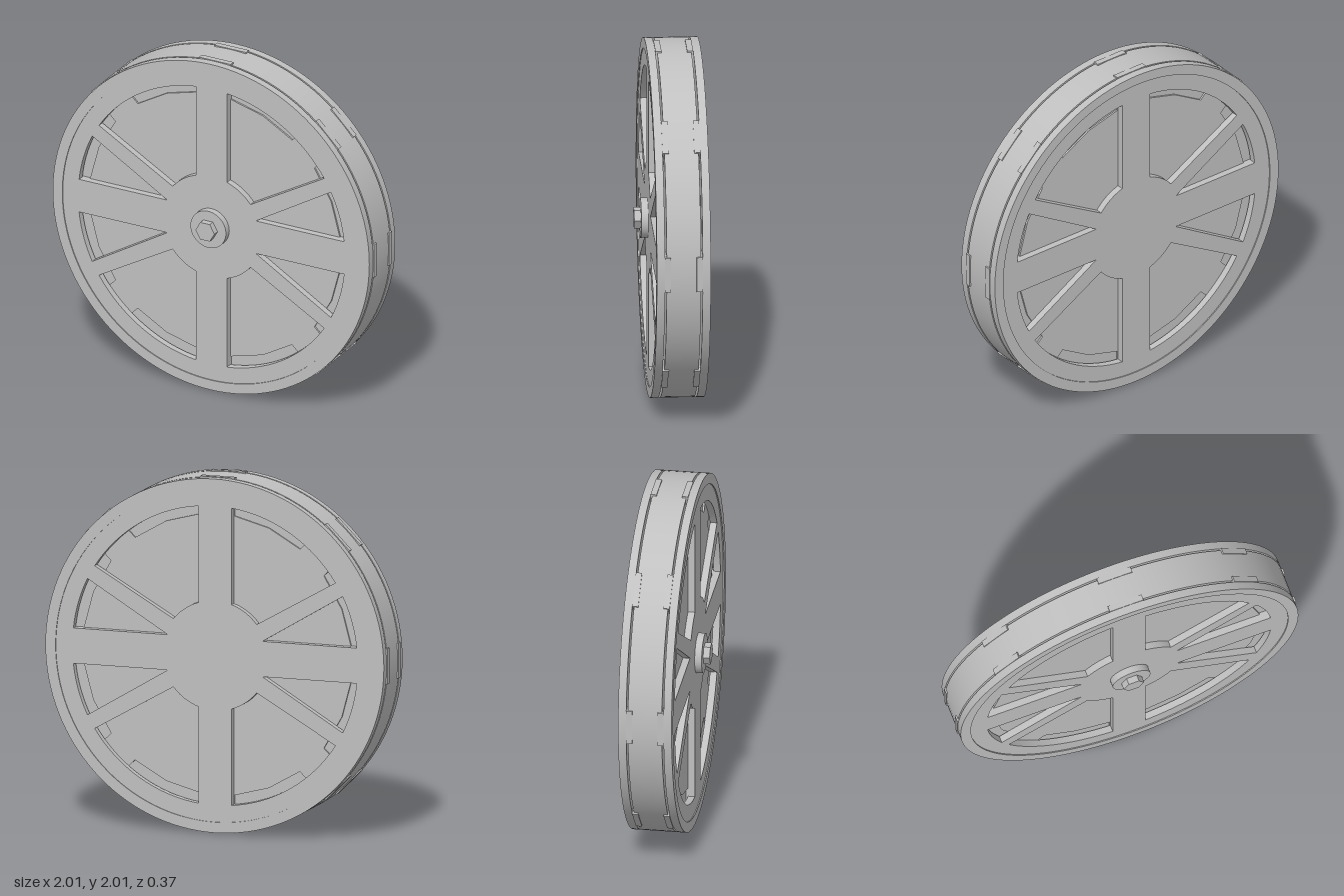
import * as THREE from 'three';
import { toCreasedNormals } from 'three/addons/utils/BufferGeometryUtils.js';

export function createModel() {
  const wheel = new THREE.Group();
  wheel.name = 'wheel';
  const grey = new THREE.MeshStandardMaterial({ color: 0xc0c0c0 });
  grey.name = 'light grey';

  function add(parent, geometry, name) {
    const mesh = new THREE.Mesh(geometry, grey);
    mesh.name = name;
    parent.add(mesh);
    return mesh;
  }

  // Cylinder lying along z, between two depths
  function disc(radius, z0, z1, sides, turn = 0) {
    const g = new THREE.CylinderGeometry(radius, radius, z1 - z0, sides, 1, false, turn);
    return g.rotateX(Math.PI / 2).translate(0, 0, (z0 + z1) / 2);
  }

  function extrude(shape, z0, z1) {
    const g = new THREE.ExtrudeGeometry(shape, { depth: z1 - z0, bevelEnabled: false, curveSegments: 64 });
    return toCreasedNormals(g.translate(0, 0, z0), 0.5);
  }

  function circle(radius) {
    return new THREE.Shape().absarc(0, 0, radius, 0, Math.PI * 2, false);
  }

  // Opening between two spokes; mirrored into each quarter by sx, sy
  function opening(inner0, outer0, outer1, inner1, sx, sy) {
    const points = [];
    const arc = (from, to, steps) => {
      const a0 = Math.atan2(from[1], from[0]), a1 = Math.atan2(to[1], to[0]);
      const r0 = Math.hypot(...from), r1 = Math.hypot(...to);
      for (let i = 0; i <= steps; i++) {
        const t = i / steps, a = a0 + (a1 - a0) * t, r = r0 + (r1 - r0) * t;
        points.push(new THREE.Vector2(sx * r * Math.cos(a), sy * r * Math.sin(a)));
      }
    };
    arc(outer0, outer1, 16);
    arc(inner1, inner0, 10);
    return new THREE.Path(points);
  }

  // Flat outer ring and the slightly sunk spoke plate for one side
  function sidePlate(name) {
    const side = new THREE.Group();
    side.name = name;
    const ring = circle(1);
    ring.holes.push(new THREE.Path().absarc(0, 0, 0.94, 0, Math.PI * 2, true));
    add(side, extrude(ring, 0.105, 0.15), 'outerRing');

    const spokes = circle(0.94);
    for (const sx of [-1, 1]) for (const sy of [-1, 1]) {
      spokes.holes.push(opening([0.285, 0.1], [0.837, 0.1], [0.754, 0.385], [0.283, 0.102], sx, sy));
      spokes.holes.push(opening([0.246, 0.193], [0.711, 0.46], [0.097, 0.84], [0.097, 0.295], sx, sy));
    }
    add(side, extrude(spokes, 0.105, 0.144), 'spokePlate');

    // Spacer disc and tabs that hold the plate off the core
    const spacer = disc(0.795, 0.09, 0.105, 24, Math.PI / 24).toNonIndexed();
    spacer.computeVertexNormals();
    add(side, spacer, 'spacerDisc');
    for (let i = 0; i < 8; i++) {
      const tab = new THREE.BoxGeometry(0.26, 0.2, 0.034).translate(0.874, 0, 0.088);
      add(side, tab.rotateZ(i * Math.PI / 4), 'spacerTab');
    }
    return side;
  }

  // Solid core with the tread
  add(wheel, disc(1, -0.095, 0.095, 128), 'core');

  const front = sidePlate('frontSide');
  const back = sidePlate('backSide');
  back.rotation.y = Math.PI;
  wheel.add(front, back);

  // Axle washer and hexagonal bolt head on the front
  add(wheel, disc(0.112, 0.14, 0.183, 48), 'axleWasher');
  const bolt = disc(0.06, 0.18, 0.22, 6, Math.PI / 2).toNonIndexed();
  bolt.computeVertexNormals();
  add(wheel, bolt, 'boltHead');

  wheel.position.set(0, 1, -0.035);
  const model = new THREE.Group();
  model.name = 'spokedWheel';
  model.add(wheel);
  return model;
}
